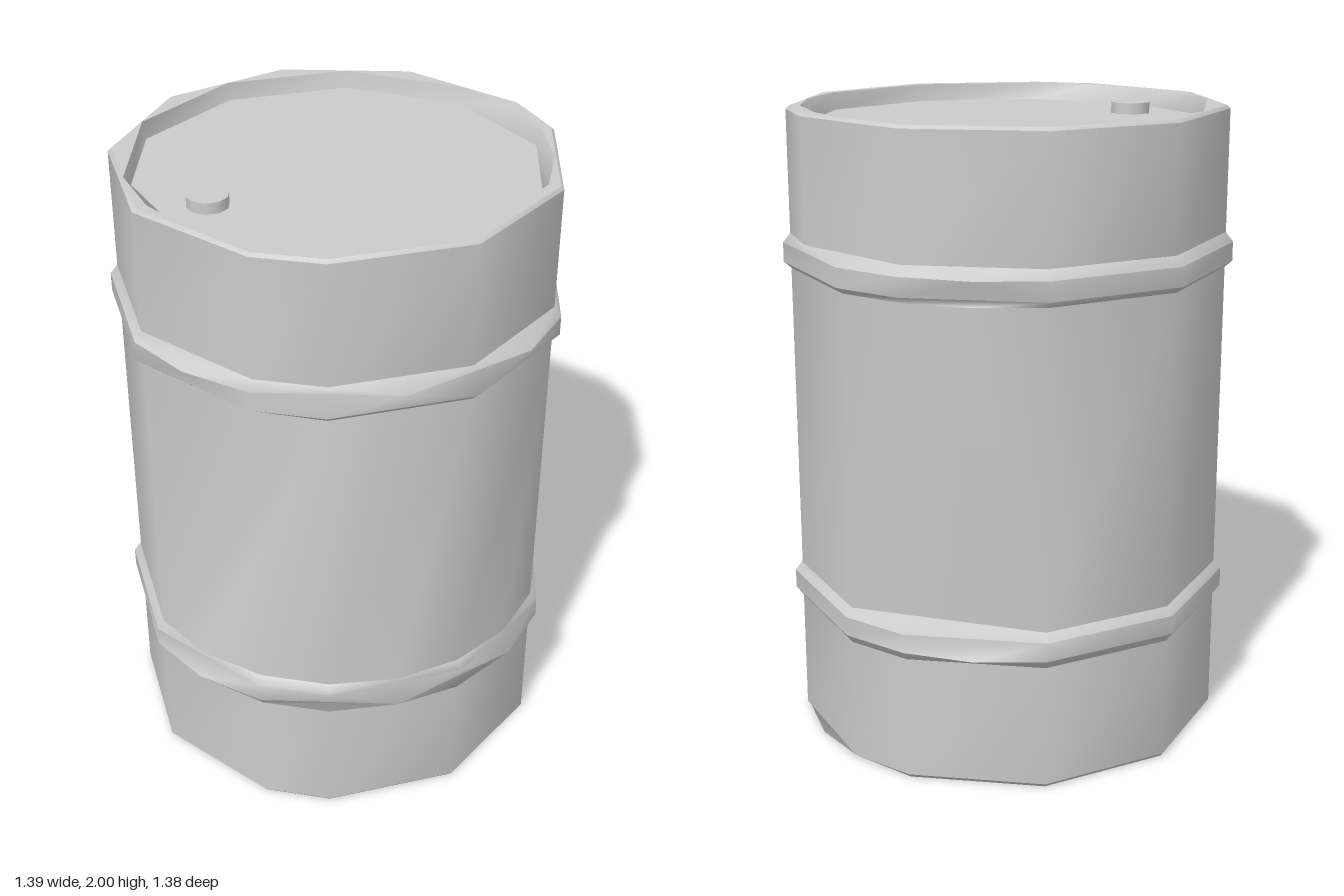
import * as THREE from 'three';

const CX = 0.016, CZ = -0.016, STEPS = 20;

// Corner sets: which of the 20 steps around the drum each ring keeps (0 = back, 5 = +x)
const RIM = [1, 3, 5, 6, 8, 10, 12, 13, 15, 17, 19];
const WALL = [1, 3, 4, 6, 8, 10, 12, 13, 15, 17, 19];
const BAND_OUT = [1, 2, 3, 4, 6, 8, 9, 11, 13, 14, 15, 17, 19];
const BAND_IN = [1, 3, 4, 6, 8, 10, 12, 13, 15, 17, 19];
const MID_LOW = [1, 4, 6, 8, 9, 10, 11, 12, 13, 14, 15, 17, 19];
const MID_HIGH = [1, 2, 3, 4, 6, 8, 10, 12, 15, 17, 19];
const LIP = [0, 2, 4, 5, 6, 7, 8, 10, 12, 13, 14, 15, 16, 18];
const LID = [0, 2, 4, 6, 8, 10, 12, 14, 16, 18];

const R = 0.685, RB = 0.708;

// Profile from the underside centre, out, up the wall and back in to the lid centre.
// Each entry: radius, height, corner set, name of the section leading to the next entry.
const PROFILE = [
  [0, 0.05, LID, 'bottom'],
  [0.63, 0.05, LID, 'bottomRecess'],
  [0.64, 0, LIP, 'bottomRim'],
  [0.675, 0, RIM, 'bottomChamfer'],
  [R, 0.012, WALL, 'lowerWall'],
  [R, 0.4, WALL, 'lowerBandUnderside'],
  [RB, 0.43, BAND_OUT, 'lowerBand'],
  [RB, 0.49, BAND_IN, 'lowerBandTop'],
  [R, 0.515, MID_LOW, 'middleWall'],
  [R, 1.5, MID_HIGH, 'upperBandUnderside'],
  [RB, 1.52, BAND_IN, 'upperBand'],
  [RB, 1.58, BAND_OUT, 'upperBandTop'],
  [R, 1.61, RIM, 'upperWall'],
  [R, 1.99, RIM, 'topChamfer'],
  [0.675, 2, RIM, 'topRim'],
  [0.64, 2, LIP, 'topRecess'],
  [0.63, 1.945, LID, 'lid'],
  [0, 1.945, LID, ''],
];

// Triangle strip between two rings that may have different corners
function bridge([ra, ya, a], [rb, yb, b]) {
  const pos = [], index = [];
  const addRing = (r, y, set) => set.forEach((k) => {
    const t = (k / STEPS) * Math.PI * 2;
    pos.push(CX + r * Math.sin(t), y, CZ - r * Math.cos(t));
  });
  addRing(ra, ya, a);
  addRing(rb, yb, b);
  const at = (set, i) => set[i % set.length] + STEPS * Math.floor(i / set.length);
  const A = (i) => i % a.length;
  const B = (j) => a.length + (j % b.length);
  let i = 0, j = 0;
  while (i < a.length || j < b.length) {
    const stepA = j >= b.length || (i < a.length && at(a, i + 1) <= at(b, j + 1));
    if (stepA) {
      if (ra > 0) index.push(A(i + 1), A(i), B(j));
      i++;
    } else {
      if (rb > 0) index.push(B(j), B(j + 1), A(i));
      j++;
    }
  }
  const g = new THREE.BufferGeometry();
  g.setAttribute('position', new THREE.Float32BufferAttribute(pos, 3));
  g.setIndex(index);
  g.computeVertexNormals();
  return g;
}

export function createModel() {
  const model = new THREE.Group();
  model.name = 'drum';
  const material = new THREE.MeshStandardMaterial({ color: 0xcccccc });
  const add = (name, geometry) => {
    const mesh = new THREE.Mesh(geometry, material);
    mesh.name = name;
    model.add(mesh);
    return mesh;
  };

  // Drum shell: smooth around, sharp between sections
  for (let s = 0; s < PROFILE.length - 1; s++) {
    add(PROFILE[s][3], bridge(PROFILE[s], PROFILE[s + 1]));
  }

  // Filler cap on the lid
  const cap = add('fillerCap', new THREE.CylinderGeometry(0.063, 0.063, 0.04, 10));
  cap.position.set(-0.427, 1.96, -0.02);

  return model;
}
